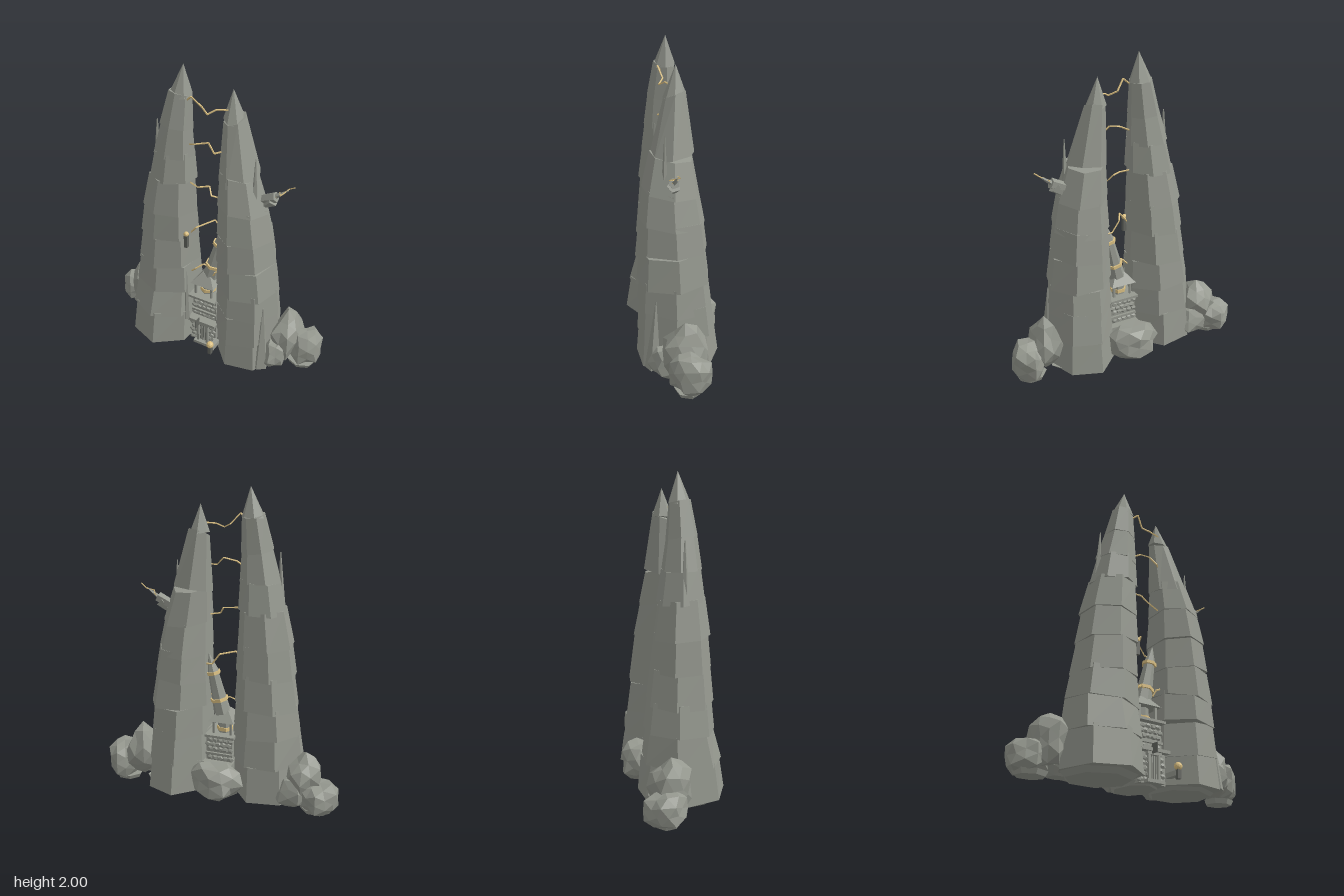
import * as THREE from 'three';

const mat = (name, color) => Object.assign(new THREE.MeshStandardMaterial({ color }), { name });
const V = (x, y, z) => new THREE.Vector3(x, y, z);
const lerp = THREE.MathUtils.lerp;

export function createModel() {
  const rock = mat('grey rock', 0x95988f), dark = mat('dark stone', 0x62645e);
  const gold = mat('pale gold', 0xdcc183);
  const root = new THREE.Group();

  let seed = 11;
  const rnd = () => (seed = (seed * 16807) % 2147483647) / 2147483647;

  const add = (name, geo, material, parent = root) => {
    const g = geo.index ? geo.toNonIndexed() : geo;
    g.computeVertexNormals();
    const m = new THREE.Mesh(g, material);
    m.name = name;
    parent.add(m);
    return m;
  };
  const box = (name, w, h, d, x, y, z, material = rock) =>
    add(name, new THREE.BoxGeometry(w, h, d).translate(x, y, z), material);

  // Tapered piece between two points
  const spike = (name, a, b, r0, r1, sides, material = rock) => {
    const dir = b.clone().sub(a);
    const geo = new THREE.CylinderGeometry(r1, r0, dir.length(), sides);
    geo.applyQuaternion(new THREE.Quaternion().setFromUnitVectors(V(0, 1, 0), dir.clone().normalize()));
    geo.translate((a.x + b.x) / 2, (a.y + b.y) / 2, (a.z + b.z) / 2);
    return add(name, geo, material);
  };

  // Extents of a spire at height y, from rows of [y, xMin, xMax, zMin, zMax]
  const extentsAt = (rows, y) => {
    let i = 0;
    while (i < rows.length - 2 && y > rows[i + 1][0]) i++;
    const t = (y - rows[i][0]) / (rows[i + 1][0] - rows[i][0]);
    return rows[i].map((v, k) => lerp(v, rows[i + 1][k], t));
  };

  // Spire: stacked seven-sided tiers, each overhanging the one below
  const sides = 7;
  const spire = (name, rows, levels, turn, tilt) => {
    const group = new THREE.Group();
    group.name = name;
    root.add(group);
    for (let i = 0; i < levels.length - 1; i++) {
      const y0 = levels[i], y1 = levels[i + 1], last = i === levels.length - 2;
      const geo = new THREE.CylinderGeometry(1, 1, 1, sides);
      const p = geo.attributes.position;
      const twist = turn + (rnd() - 0.5) * 0.26;
      const jitter = Array.from({ length: sides }, () => 1 + rnd() * 0.05);
      const tiltX = i ? (rnd() - 0.5) * tilt : 0, tiltZ = i ? (rnd() - 0.5) * tilt : 0;
      for (let k = 0; k < p.count; k++) {
        const up = p.getY(k) > 0, e = extentsAt(rows, up ? y1 : y0);
        const rim = Math.hypot(p.getX(k), p.getZ(k));
        const a = Math.atan2(p.getX(k), p.getZ(k));
        const side = (Math.round((a / (2 * Math.PI)) * sides) + sides) % sides;
        const r = rim < 0.01 ? 0 : jitter[side] * (up ? 0.985 : 1.03);
        const cx = Math.sin(a - twist) * r, cz = Math.cos(a - twist) * r;
        const slant = last && up ? 0 : cx * tiltX + cz * tiltZ;
        p.setXYZ(k, (e[1] + e[2]) / 2 + cx * (e[2] - e[1]) / 2,
          (up && !last ? y1 + 0.015 : up ? y1 : y0) + slant,
          (e[3] + e[4]) / 2 + cz * (e[4] - e[3]) / 2);
      }
      add(last ? 'spireTip' : 'spireTier', geo, rock, group);
    }
  };
  spire('tallSpire', [
    [0.03, -0.54, -0.075, -0.23, 0.3], [0.25, -0.53, -0.075, -0.22, 0.275],
    [0.44, -0.515, -0.08, -0.2, 0.23], [1.02, -0.44, -0.09, -0.14, 0.2],
    [1.42, -0.355, -0.095, -0.08, 0.16], [1.61, -0.3, -0.1, -0.05, 0.14],
    [1.81, -0.245, -0.1, -0.03, 0.105], [2, -0.155, -0.155, 0.03, 0.03],
  ], [0.03, 0.25, 0.44, 0.62, 0.83, 1.02, 1.24, 1.42, 1.61, 1.81, 2], 0, 0.025);
  spire('shortSpire', [
    [0.02, 0.1, 0.525, -0.28, 0.23], [0.58, 0.1, 0.495, -0.23, 0.215],
    [0.96, 0.1, 0.445, -0.195, 0.205], [1.16, 0.1, 0.405, -0.16, 0.185],
    [1.36, 0.1, 0.34, -0.125, 0.14], [1.55, 0.1, 0.28, -0.1, 0.095],
    [1.7, 0.1, 0.235, -0.08, 0.055], [1.89, 0.15, 0.15, -0.02, -0.02],
  ], [0.02, 0.21, 0.4, 0.58, 0.77, 0.95, 1.15, 1.35, 1.7, 1.89], 0.14, 0.05);

  // Thin uneven footing
  for (const [x, z, rx, rz] of [[-0.31, 0.03, 0.23, 0.22], [0.32, -0.03, 0.22, 0.22],
    [-0.66, -0.12, 0.11, 0.09], [0.68, -0.08, 0.1, 0.09], [0, -0.06, 0.14, 0.18]])
    add('footing', new THREE.CylinderGeometry(1, 0.85, 0.03, 7).scale(rx, 1, rz).translate(x, 0.015, z), rock);

  // Angular boulders with flat undersides
  const boulder = (x, y, z, rx, ry, rz) => {
    const geo = new THREE.IcosahedronGeometry(1, 1), p = geo.attributes.position;
    const s = rnd() * 10;
    for (let k = 0; k < p.count; k++) {
      const a = p.getX(k), b = p.getY(k), c = p.getZ(k);
      const f = 0.97 + 0.14 * Math.sin(a * 11.3 + b * 17.7 + c * 7.9 + s);
      p.setXYZ(k, x + a * f * rx, Math.max(0.015, y + b * f * ry), z + c * f * rz);
    }
    add('boulder', geo, rock);
  };
  boulder(-0.68, 0.1, -0.13, 0.13, 0.11, 0.135);
  boulder(-0.575, 0.2, -0.08, 0.12, 0.165, 0.135);
  boulder(-0.5, 0.1, -0.12, 0.12, 0.12, 0.11);
  boulder(0.7, 0.14, -0.09, 0.11, 0.135, 0.135);
  boulder(0.57, 0.21, -0.06, 0.105, 0.19, 0.145);
  boulder(0.54, 0.11, 0.04, 0.075, 0.11, 0.12);
  boulder(0, 0.12, -0.2, 0.18, 0.13, 0.12);

  // Stone splinters against the spires
  spike('splinter', V(-0.36, 1.2, 0.04), V(-0.345, 1.61, 0.04), 0.03, 0.004, 5);
  spike('splinter', V(-0.31, 1.3, 0.11), V(-0.31, 1.46, 0.1), 0.022, 0.002, 4);
  spike('splinter', V(0.345, 1.2, 0.05), V(0.342, 1.52, 0.05), 0.022, 0.003, 5);
  spike('splinter', V(0.47, 0.03, 0.13), V(0.465, 0.5, 0.11), 0.055, 0.003, 5);
  spike('splinter', V(-0.1, 0.2, 0.13), V(-0.11, 0.58, 0.11), 0.025, 0.003, 5);

  // Side perch with thorn
  spike('perch', V(0.36, 1.23, 0), V(0.46, 1.275, 0), 0.03, 0.035, 5);
  spike('perchRoot', V(0.38, 1.19, 0), V(0.44, 1.25, 0), 0.015, 0.042, 5);
  spike('thorn', V(0.44, 1.265, 0), V(0.535, 1.335, -0.01), 0.018, 0.003, 4);

  // Jagged gold strands made of straight square links
  const strand = (name, r, pts) => {
    for (let i = 1; i < pts.length; i++) spike(name, V(...pts[i - 1]), V(...pts[i]), r, r, 4, gold);
  };
  strand('twig', 0.004, [[0.46, 1.275, 0.01], [0.475, 1.3, -0.02], [0.5, 1.31, 0.03], [0.53, 1.335, -0.03], [0.57, 1.362, -0.015]]);
  strand('strand', 0.0055, [[-0.12, 1.79, 0.06], [-0.075, 1.83, 0.08], [-0.02, 1.765, 0.05], [0.03, 1.74, 0.075], [0.07, 1.765, 0.04], [0.14, 1.77, 0.02]]);
  strand('strand', 0.0055, [[-0.12, 1.5, 0.05], [-0.05, 1.53, 0.08], [0.03, 1.55, 0.06], [0.08, 1.5, 0.08], [0.13, 1.51, 0.03]]);
  strand('strand', 0.0055, [[-0.12, 1.24, 0.05], [-0.04, 1.23, 0.07], [0.02, 1.235, 0.03], [0.05, 1.19, 0.06], [0.12, 1.18, 0.04]]);
  strand('strand', 0.0055, [[-0.11, 0.86, 0.06], [-0.05, 0.935, 0.08], [0.02, 0.945, -0.045], [0.07, 0.875, -0.045], [0.12, 0.87, -0.04]]);
  strand('strand', 0.0055, [[-0.1, 0.56, 0.06], [-0.06, 0.6, 0.07], [-0.02, 0.63, 0.04], [0.01, 0.615, 0.03]]);
  strand('strand', 0.0055, [[0.06, 0.57, 0.05], [0.08, 0.61, 0.06], [0.12, 0.63, 0.05]]);

  // Gatehouse between the spires
  box('gatehouseWall', 0.19, 0.19, 0.2, 0.015, 0.105, 0);
  box('ledge', 0.21, 0.02, 0.27, 0.015, 0.205, 0.005);
  box('upperWall', 0.18, 0.17, 0.16, 0.01, 0.295, 0);
  box('wallBand', 0.185, 0.016, 0.19, 0.01, 0.265, 0);
  box('balcony', 0.2, 0.016, 0.22, 0.005, 0.39, 0.01);
  spike('lookout', V(0, 0.39, 0.01), V(0, 0.5, 0.01), 0.05, 0.046, 7);
  spike('lookoutBand', V(0, 0.41, 0.01), V(0, 0.434, 0.01), 0.055, 0.055, 7, gold);
  for (const x of [-0.06, 0.06]) for (const z of [-0.05, 0.075])
    box('roofPost', 0.014, 0.1, 0.014, x, 0.445, z);
  add('roof', new THREE.CylinderGeometry(0.35, 1, 0.07, 4, 1).rotateY(Math.PI / 4)
    .scale(0.125, 1, 0.13).translate(0, 0.522, 0.01), rock);

  // Rough masonry on the front and back walls
  const masonry = (yStart, rows, half, z) => {
    for (let j = 0; j < rows; j++) for (let i = 0; i < 5; i++) {
      const x = 0.01 + (i - 2 + (j % 2) * 0.4 - 0.2) * half / 2.4;
      if (yStart < 0.2 && z > 0 && Math.abs(x - 0.015) < 0.03) continue;
      add('wallStone', new THREE.DodecahedronGeometry(0.021 + rnd() * 0.004).rotateY(rnd() * 3)
        .scale(1, 0.75, 0.6).translate(x, yStart + j * 0.032, z), rock);
    }
  };
  for (const s of [-1, 1]) {
    masonry(0.03, 5, 0.09, s * 0.1);
    masonry(0.235, 1, 0.085, s * 0.08);
    masonry(0.298, 3, 0.085, s * 0.08);
  }

  // Gate
  box('gatePanel', 0.06, 0.16, 0.008, 0.015, 0.1, 0.102, dark);
  for (const x of [-0.02, 0.05]) box('gatePost', 0.016, 0.18, 0.02, x, 0.1, 0.115);
  box('gateLintel', 0.1, 0.018, 0.024, 0.015, 0.185, 0.117);
  for (let i = 0; i < 4; i++) box('gateBar', 0.006, 0.16, 0.006, -0.003 + i * 0.013, 0.095, 0.109);
  box('step', 0.12, 0.02, 0.05, 0.015, 0.02, 0.115);
  box('hangingRod', 0.004, 0.06, 0.05, -0.005, 0.21, 0.155, dark);

  // Leaning turret with gold bands
  const foot = V(0.015, 0.53, 0), peak = V(0.105, 0.93, -0.01);
  const at = t => foot.clone().lerp(peak, t);
  spike('turretShaft', at(0), at(0.7), 0.058, 0.034, 7);
  spike('turretTip', at(0.68), at(1), 0.042, 0.003, 7);
  for (const [t, r] of [[0.21, 0.06], [0.66, 0.048]]) spike('turretBand', at(t), at(t + 0.05), r, r, 7, gold);

  // Lanterns
  const lantern = (x, y, z, r, drop) => {
    box('lanternPost', 0.024, drop, 0.024, x, y - drop / 2 - r * 0.6, z, dark);
    add('lanternGlow', new THREE.IcosahedronGeometry(r, 1).translate(x, y, z), gold);
  };
  lantern(0.125, 0.11, 0.205, 0.025, 0.06);
  box('lanternArm', 0.035, 0.03, 0.09, 0.125, 0.07, 0.15);
  lantern(-0.105, 0.885, 0.115, 0.018, 0.09);

  return root;
}
